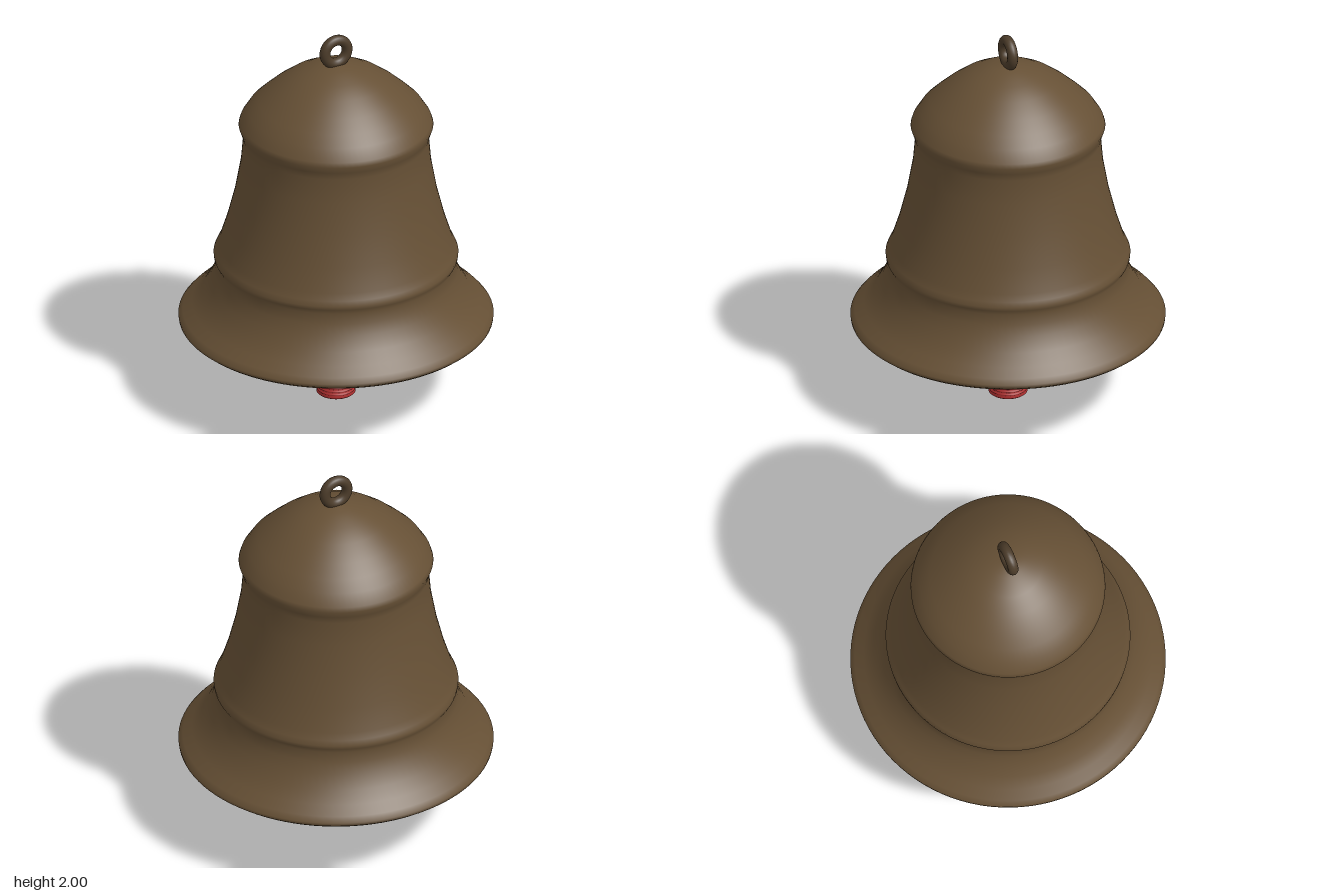
import * as THREE from 'three';

const bronze = new THREE.MeshStandardMaterial({ color: 0x665035 });
const darkMetal = new THREE.MeshStandardMaterial({ color: 0x4c3c2a });
const red = new THREE.MeshStandardMaterial({ color: 0xb03030 });

function add(group, name, geometry, material, y = 0) {
  const mesh = new THREE.Mesh(geometry, material);
  mesh.name = name;
  mesh.position.y = y;
  group.add(mesh);
  return mesh;
}

const lathe = (points, segments) =>
  new THREE.LatheGeometry(points.map(([r, y]) => new THREE.Vector2(r, y)), segments);

export function createModel() {
  const model = new THREE.Group();
  model.name = 'bell';

  // Hollow shell: down the inside wall, around the lip, up the outside
  add(model, 'bellShell', lathe([
    [0, 1.79], [0.16, 1.75], [0.29, 1.66], [0.39, 1.55], [0.42, 1.42],
    [0.43, 1.28], [0.46, 1.1], [0.5, 0.95], [0.55, 0.79], [0.57, 0.67],
    [0.6, 0.54], [0.635, 0.43], [0.65, 0.415],
    [0.73, 0.408], [0.765, 0.412], [0.785, 0.428], [0.787, 0.445], [0.765, 0.47],
    [0.72, 0.51], [0.67, 0.565], [0.63, 0.635], [0.608, 0.69], [0.597, 0.745],
    [0.609, 0.77], [0.611, 0.79], [0.6, 0.815], [0.583, 0.85],
    [0.545, 0.97], [0.505, 1.13], [0.475, 1.3], [0.464, 1.43],
    [0.474, 1.47], [0.486, 1.505], [0.478, 1.53], [0.44, 1.59], [0.39, 1.64],
    [0.33, 1.695], [0.25, 1.757], [0.17, 1.802], [0.08, 1.835], [0, 1.845],
  ], 96), bronze);

  // Hanging loop on the crown
  add(model, 'hangingLoop', new THREE.TorusGeometry(0.063, 0.027, 16, 40), darkMetal, 1.91);

  // Clapper suspension: pin, flat ring and upright link
  add(model, 'clapperPin', new THREE.CylinderGeometry(0.013, 0.013, 0.11, 16), darkMetal, 0.55);
  add(model, 'pinRing', new THREE.TorusGeometry(0.047, 0.015, 12, 32), darkMetal, 0.5).rotation.x = Math.PI / 2;
  add(model, 'chainLink', new THREE.TorusGeometry(0.056, 0.012, 12, 32), darkMetal, 0.43);

  // Red clapper eye, turned across the link
  add(model, 'clapperEye', new THREE.TorusGeometry(0.045, 0.016, 12, 32), red, 0.355).rotation.y = Math.PI / 2;

  // Red clapper weight: recessed base, ribbed sleeve and rounded cap
  const weight = [[0, 0.06], [0.06, 0.06], [0.066, 0.012], [0.075, 0.003], [0.09, 0.003], [0.098, 0.01]];
  const ribs = 11;
  for (let i = 0; i < ribs; i++) {
    const y = 0.02 + i * 0.0165;
    const r = 0.096 - i * 0.0011;
    weight.push([r - 0.006, y], [r, y + 0.005], [r, y + 0.011]);
  }
  weight.push([0.086, 0.203], [0.098, 0.222], [0.104, 0.24], [0.103, 0.258],
    [0.09, 0.285], [0.07, 0.31], [0.06, 0.318], [0.045, 0.322], [0, 0.322]);
  add(model, 'clapperWeight', lathe(weight, 48), red);

  return model;
}
